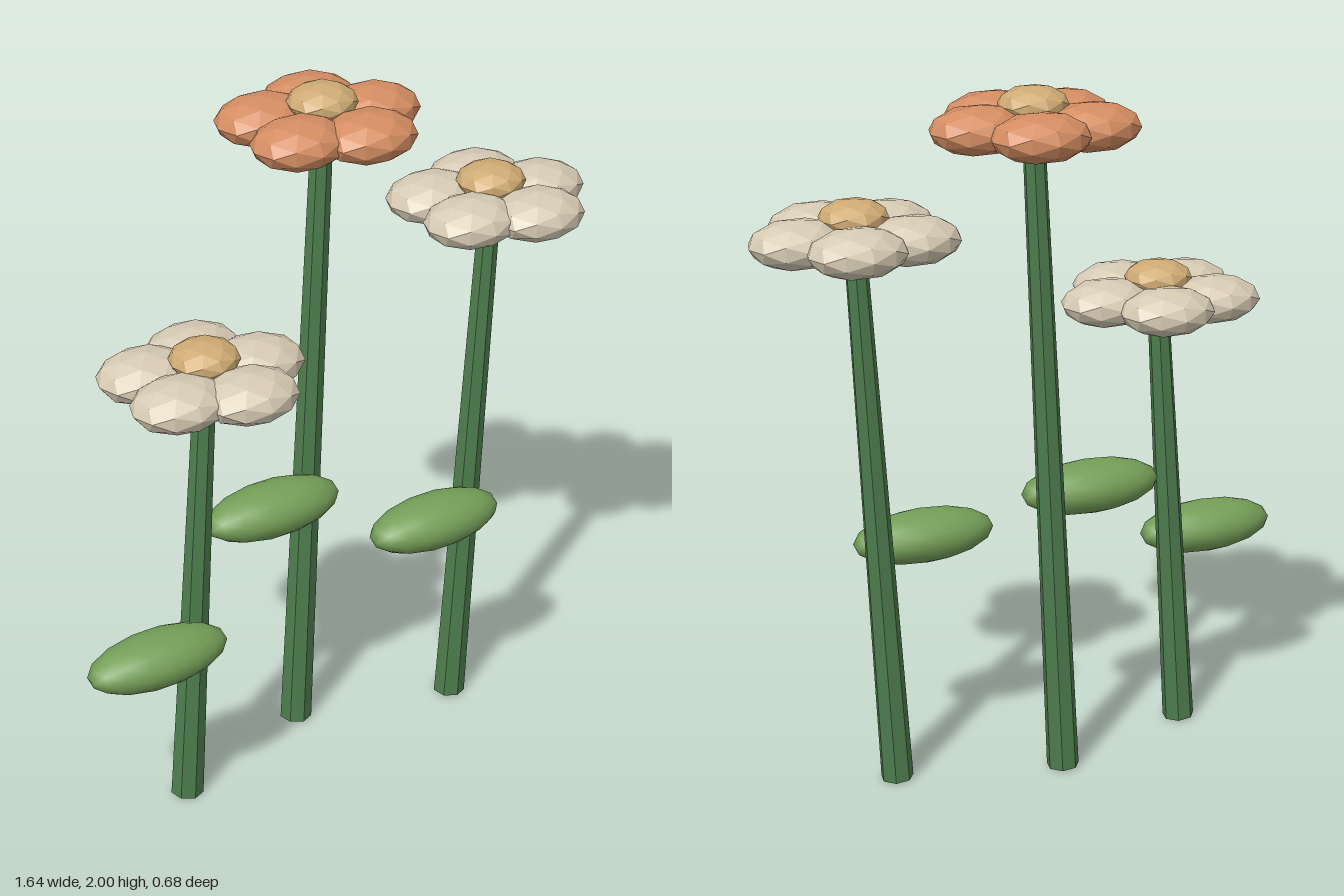
import * as THREE from 'three';

const material = (name, color, flatShading) => {
  const m = new THREE.MeshStandardMaterial({ color, flatShading });
  m.name = name;
  return m;
};

export function createModel() {
  const stemGreen = material('stem green', 0x4d7d4d, true);
  const leafGreen = material('leaf green', 0x759f58, false);
  const cream = material('cream petal', 0xd6cab3, true);
  const orange = material('orange petal', 0xd48d62, true);
  const gold = material('golden centre', 0xcfab74, true);

  const facetedBall = new THREE.IcosahedronGeometry(1, 1);
  const smoothBall = new THREE.IcosahedronGeometry(1, 2);

  // Ellipsoid part with the given centre and half sizes
  const ellipsoid = (name, geometry, mat, position, size) => {
    const mesh = new THREE.Mesh(geometry, mat);
    mesh.name = name;
    mesh.position.set(...position);
    mesh.scale.set(...size);
    return mesh;
  };

  // Tapered stem running from its foot to the flower head
  const makeStem = (from, to) => {
    const along = to.clone().sub(from);
    const mesh = new THREE.Mesh(new THREE.CylinderGeometry(0.031, 0.047, along.length(), 7), stemGreen);
    mesh.name = 'stem';
    mesh.position.copy(from).addScaledVector(along, 0.5);
    mesh.quaternion.setFromUnitVectors(new THREE.Vector3(0, 1, 0), along.normalize());
    return mesh;
  };

  const makeFlower = ({ name, foot, x, y, z, petal, leaf }) => {
    const flower = new THREE.Group();
    flower.name = name;
    flower.add(makeStem(new THREE.Vector3(foot, 0.003, z), new THREE.Vector3(x, y, z)));

    // Ring of five petals around a domed centre
    const head = new THREE.Group();
    head.name = 'flowerHead';
    head.position.set(x, y, z);
    for (let i = 0; i < 5; i++) {
      const a = (i * Math.PI * 2) / 5;
      head.add(ellipsoid('petal', facetedBall, petal,
        [0.157 * Math.cos(a), 0, 0.157 * Math.sin(a)], [0.138, 0.066, 0.116]));
    }
    head.add(ellipsoid('flowerCentre', facetedBall, gold, [0, 0.055, 0], [0.097, 0.05, 0.095]));
    flower.add(head);

    // Single leaf reaching sideways from the stem
    flower.add(ellipsoid('leaf', smoothBall, leafGreen, [leaf[0], leaf[1], z + 0.09], [0.211, 0.075, 0.097]));
    return flower;
  };

  const model = new THREE.Group();
  model.name = 'flowers';
  [
    { name: 'rightFlower', foot: -0.49, x: -0.4, y: 1.325, z: 0.072, petal: cream, leaf: [-0.618, 0.56] },
    { name: 'middleFlower', foot: -0.032, x: 0.06, y: 1.895, z: -0.078, petal: orange, leaf: [-0.16, 0.81] },
    { name: 'leftFlower', foot: 0.43, x: 0.522, y: 1.608, z: 0.055, petal: cream, leaf: [0.298, 0.69] },
  ].forEach((spec) => model.add(makeFlower(spec)));
  return model;
}
